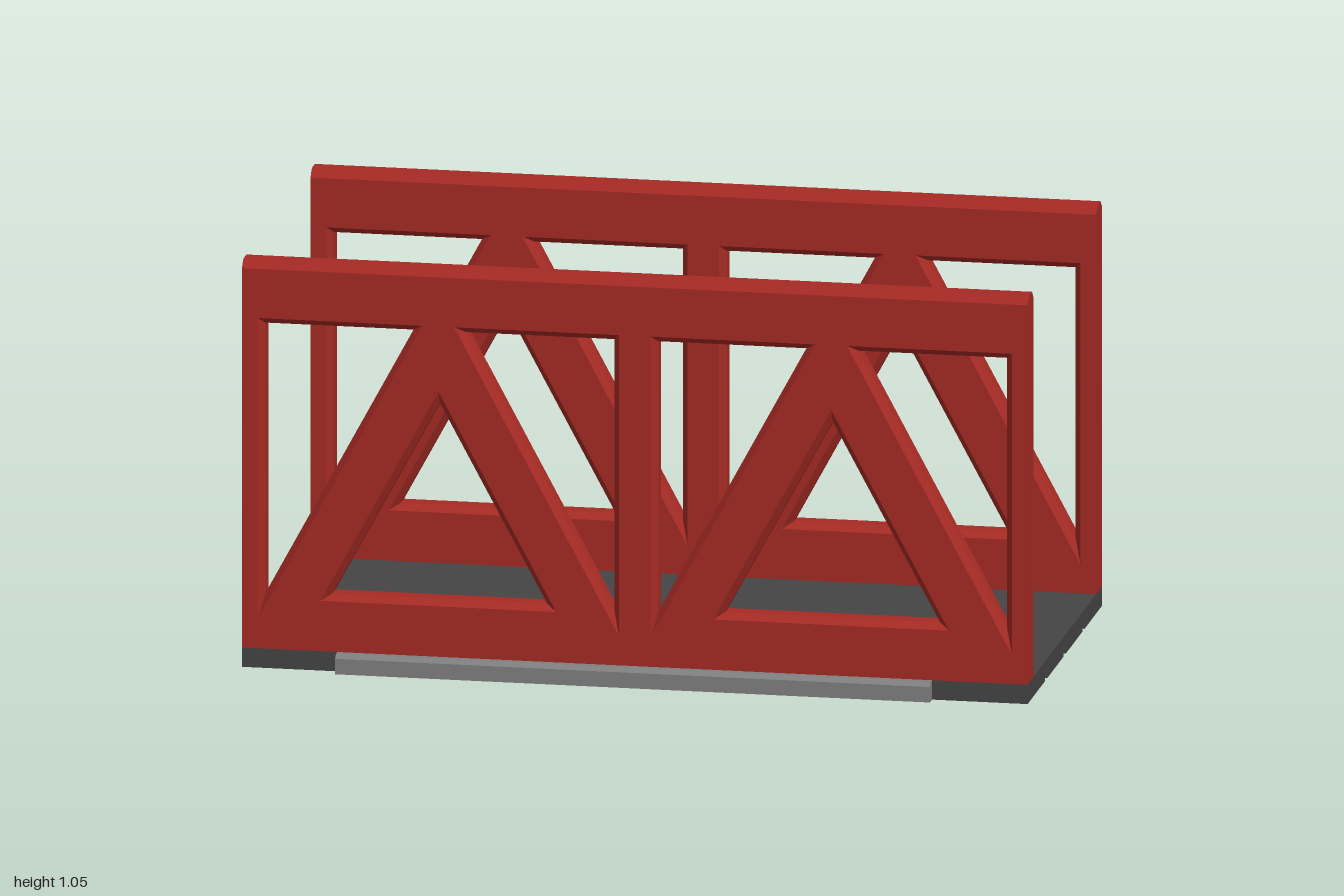
import * as THREE from 'three';
import { mergeGeometries } from 'three/addons/utils/BufferGeometryUtils.js';

const mat = (color) => new THREE.MeshStandardMaterial({ color, flatShading: true });
const v2 = (x, y) => new THREE.Vector2(x, y);

function addMesh(parent, name, geometry, material, x = 0, y = 0, z = 0) {
  const mesh = new THREE.Mesh(geometry, material);
  mesh.name = name;
  mesh.position.set(x, y, z);
  parent.add(mesh);
  return mesh;
}

// Shrinks a triangle by d on every side (scaling about its incentre)
function insetTriangle([a, b, c], d) {
  const la = b.distanceTo(c), lb = c.distanceTo(a), lc = a.distanceTo(b);
  const p = la + lb + lc;
  const centre = v2((a.x * la + b.x * lb + c.x * lc) / p, (a.y * la + b.y * lb + c.y * lc) / p);
  const area = Math.abs((b.x - a.x) * (c.y - a.y) - (c.x - a.x) * (b.y - a.y)) / 2;
  const r = (2 * area) / p;
  return [a, b, c].map((q) => q.clone().sub(centre).multiplyScalar((r - d) / r).add(centre));
}

// Chamfered wall around a contour: face outline, middle outline, face outline
function wall(face, mid, half, chamfer) {
  const rings = [[face, half], [mid, half - chamfer], [mid, chamfer - half], [face, -half]];
  const pos = [];
  for (let k = 0; k < 3; k++) {
    const [p, zp] = rings[k], [q, zq] = rings[k + 1];
    for (let i = 0; i < p.length; i++) {
      const j = (i + 1) % p.length;
      pos.push(p[i].x, p[i].y, zp, q[i].x, q[i].y, zq, q[j].x, q[j].y, zq);
      pos.push(p[i].x, p[i].y, zp, q[j].x, q[j].y, zq, p[j].x, p[j].y, zp);
    }
  }
  const g = new THREE.BufferGeometry();
  g.setAttribute('position', new THREE.Float32BufferAttribute(pos, 3));
  g.computeVertexNormals();
  return g;
}

function trussGeometry() {
  const half = 0.04, chamfer = 0.02;
  const outline = (top) => [v2(-1, 0.05), v2(1, 0.05), v2(1, top), v2(-1, top)];

  // Three clockwise triangular openings per bay
  const openings = [];
  for (const cx of [-0.5, 0.5]) {
    openings.push(
      [v2(cx - 0.46, 0.125), v2(cx - 0.46, 0.903), v2(cx - 0.04, 0.903)],
      [v2(cx + 0.46, 0.125), v2(cx + 0.04, 0.903), v2(cx + 0.46, 0.903)],
      [v2(cx - 0.3, 0.18), v2(cx, 0.735), v2(cx + 0.3, 0.18)],
    );
  }

  const shape = new THREE.Shape(outline(1.03));
  openings.forEach((o) => shape.holes.push(new THREE.Path(o)));
  const front = new THREE.ShapeGeometry(shape).toNonIndexed();
  front.deleteAttribute('uv');
  front.translate(0, 0, half);
  const back = front.clone().rotateY(Math.PI);

  const walls = openings.map((o) => wall(o, insetTriangle(o, 0.016), half, chamfer));
  return mergeGeometries([front, back, wall(outline(1.03), outline(1.05), half, chamfer), ...walls]);
}

// Deck underside plan with three short slots in each end
function slottedPlan() {
  const slots = [-0.25, 0, 0.25], w = 0.015, depth = 0.04;
  const pts = [];
  for (const s of [1, -1]) {
    pts.push(v2(s, -0.5 * s));
    for (const c of slots) {
      const y = c * s;
      pts.push(v2(s, y - w * s), v2(s * (1 - depth), y - w * s));
      pts.push(v2(s * (1 - depth), y + w * s), v2(s, y + w * s));
    }
    pts.push(v2(s, 0.5 * s));
  }
  return new THREE.Shape(pts);
}

export function createModel() {
  const model = new THREE.Group();
  model.name = 'trussBridge';
  const red = mat(0xa52a24), asphalt = mat(0x444444), grey = mat(0x808080), paint = mat(0xb4b4b4);

  // Road deck: slotted lower slab and plain top slab
  const deck = new THREE.Group();
  deck.name = 'deck';
  model.add(deck);
  const lower = new THREE.ExtrudeGeometry(slottedPlan(), { depth: 0.043, bevelEnabled: false });
  addMesh(deck, 'deckBase', lower.rotateX(-Math.PI / 2), asphalt);
  addMesh(deck, 'roadSurface', new THREE.BoxGeometry(2, 0.007, 1), asphalt, 0, 0.0465, 0);

  // Centre line dashes
  for (let i = 0; i < 6; i++) {
    addMesh(deck, 'laneDash', new THREE.BoxGeometry(0.135, 0.002, 0.08), paint, -0.835 + i * 0.334, 0.05, 0);
  }

  // Side trusses and the chamfered ledges outside them
  const truss = trussGeometry();
  const profile = new THREE.Shape([v2(0, 0), v2(0.03, 0), v2(0.03, 0.04), v2(0.02, 0.05), v2(0, 0.05)]);
  const ledge = new THREE.ExtrudeGeometry(profile, { depth: 1.514, bevelEnabled: false });
  ledge.translate(0, 0, -0.757).rotateY(-Math.PI / 2);
  for (const s of [1, -1]) {
    const side = new THREE.Group();
    side.name = s > 0 ? 'frontSide' : 'backSide';
    side.rotation.y = s > 0 ? 0 : Math.PI;
    model.add(side);
    addMesh(side, 'truss', truss, red, 0, 0, 0.46);
    addMesh(side, 'ledge', ledge, grey, 0, 0, 0.5);
  }
  return model;
}
